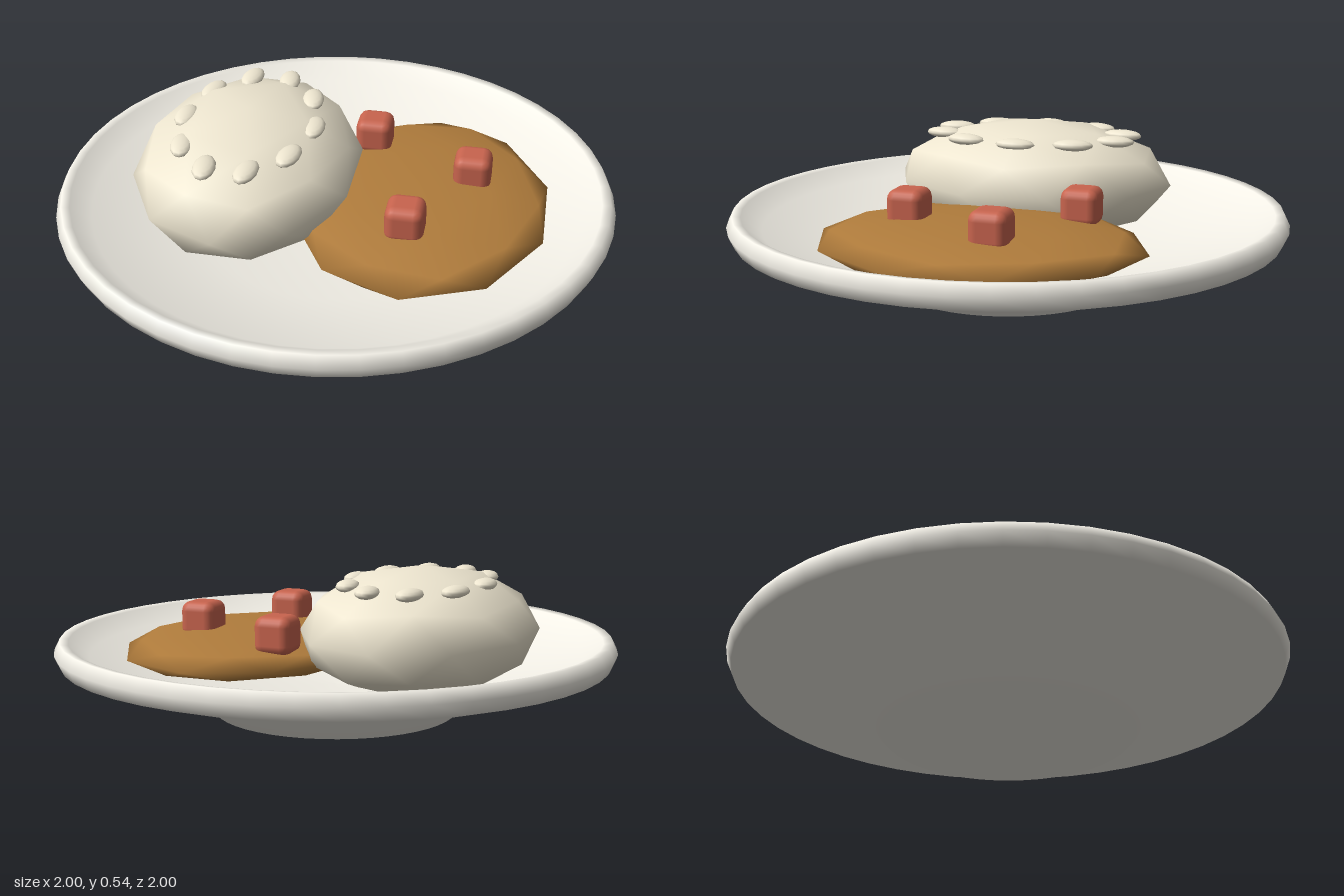
import * as THREE from 'three';
import { RoundedBoxGeometry } from 'three/addons/geometries/RoundedBoxGeometry.js';

const paint = (color) => new THREE.MeshStandardMaterial({ color });

function addMesh(parent, name, geometry, material, x = 0, y = 0, z = 0) {
  const mesh = new THREE.Mesh(geometry, material);
  mesh.name = name;
  mesh.position.set(x, y, z);
  parent.add(mesh);
  return mesh;
}

// Squashed low-poly icosphere with one corner pointing straight up
function mound(rx, ry, rz) {
  const g = new THREE.IcosahedronGeometry(1, 1);
  g.rotateZ(-Math.atan(2 / (1 + Math.sqrt(5))));
  return g.scale(rx, ry, rz);
}

export function createModel() {
  const model = new THREE.Group();
  model.name = 'plateOfCurry';

  // Plate: foot, flared underside, rolled rim and shallow dish
  const profile = [
    [0, 0], [0.44, 0], [0.49, 0.05], [0.98, 0.2], [1, 0.245], [0.98, 0.285],
    [0.95, 0.28], [0.88, 0.225], [0.48, 0.1], [0, 0.09],
  ].map(([r, y]) => new THREE.Vector2(r, y));
  addMesh(model, 'plate', new THREE.LatheGeometry(profile, 48), paint(0xf2efe6));

  // Rice mound and curry pool
  const riceMaterial = paint(0xeee6d0);
  addMesh(model, 'riceMound', mound(0.41, 0.225, 0.535), riceMaterial, -0.32, 0.315, 0);
  addMesh(model, 'currySauce', mound(0.465, 0.077, 0.585), paint(0xb07c3c), 0.315, 0.22, 0);

  // Ring of rice grains on the mound
  const grains = new THREE.Group();
  grains.name = 'riceGrains';
  model.add(grains);
  const grainGeometry = new THREE.SphereGeometry(1, 12, 8).scale(0.04, 0.021, 0.075);
  for (let i = 0; i < 10; i++) {
    const a = (i / 10) * Math.PI * 2;
    const grain = addMesh(grains, 'riceGrain', grainGeometry, riceMaterial,
      -0.315 + 0.235 * Math.cos(a), 0.484, 0.35 * Math.sin(a));
    grain.rotation.y = -0.18 * Math.sin(2 * a);
  }

  // Diced vegetables in the sauce
  const diceGeometry = new RoundedBoxGeometry(0.135, 0.135, 0.135, 2, 0.035);
  const diceMaterial = paint(0xc8644e);
  for (const [x, z] of [[0.095, -0.3], [0.485, -0.1], [0.29, 0.265]]) {
    addMesh(model, 'vegetableCube', diceGeometry, diceMaterial, x, 0.317, z);
  }

  return model;
}
